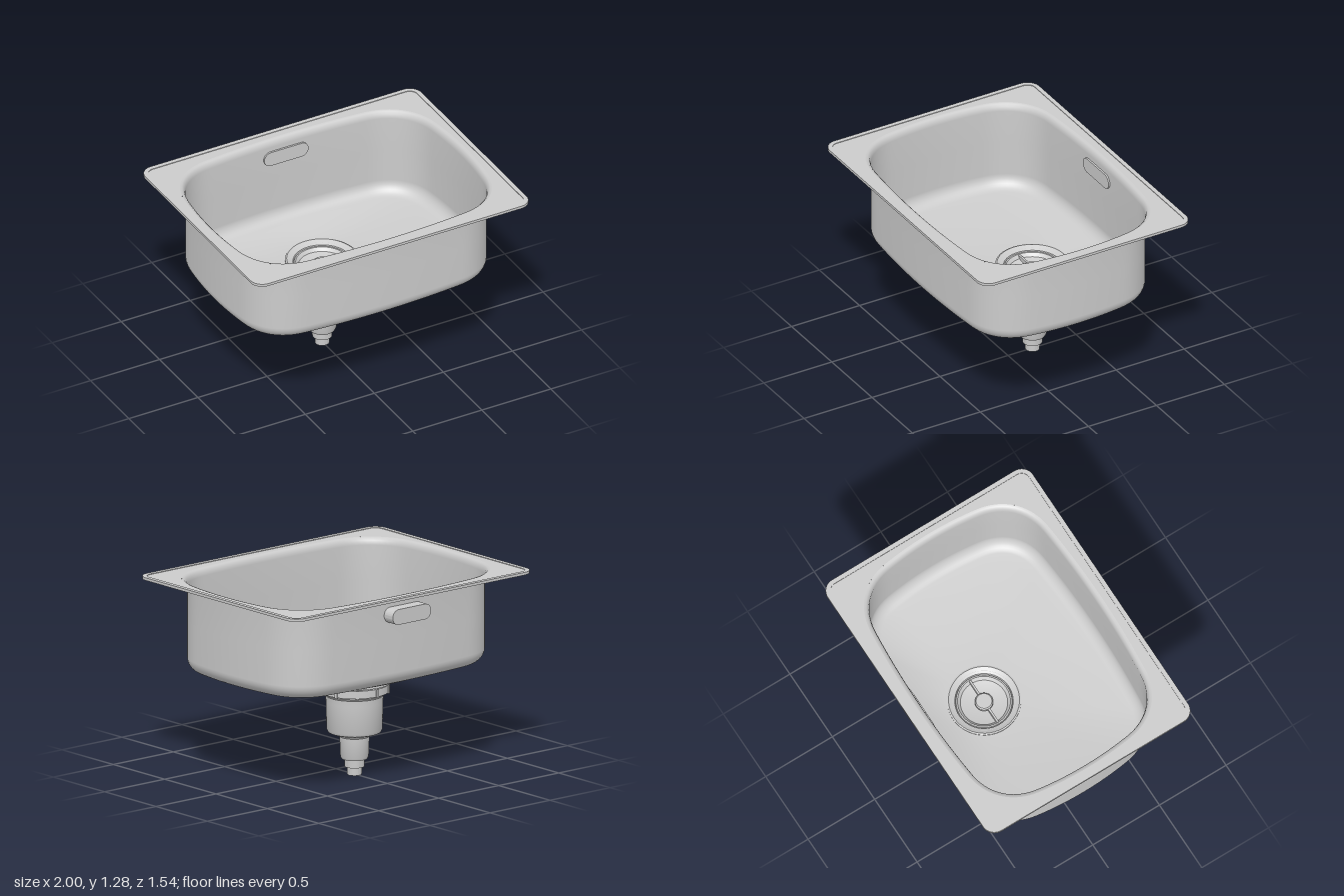
import * as THREE from 'three';
import { toCreasedNormals } from 'three/addons/utils/BufferGeometryUtils.js';

const DRAIN_Z = -0.18;

export function createModel() {
  const sink = new THREE.Group();
  sink.name = 'sink';
  const steel = new THREE.MeshStandardMaterial({ color: 0xcccccc, side: THREE.DoubleSide });

  const add = (name, geometry, x = 0, y = 0, z = 0) => {
    const mesh = new THREE.Mesh(geometry, steel);
    mesh.name = name;
    mesh.position.set(x, y, z);
    sink.add(mesh);
    return mesh;
  };
  const extrude = (shape, depth) => toCreasedNormals(
    new THREE.ExtrudeGeometry(shape, { depth, bevelEnabled: false, curveSegments: 10 }), 0.6);
  const lathe = (points, segments = 48) => toCreasedNormals(
    new THREE.LatheGeometry(points.map(([r, y]) => new THREE.Vector2(r, y)), segments), 0.6);

  // Rounded rectangle centred on (cx, cy), with half sizes w and h
  const roundedRect = (w, h, r, Kind = THREE.Shape, cx = 0, cy = 0) => {
    const s = new Kind();
    s.absarc(cx + w - r, cy + h - r, r, 0, Math.PI / 2);
    s.absarc(cx - w + r, cy + h - r, r, Math.PI / 2, Math.PI);
    s.absarc(cx - w + r, cy - h + r, r, Math.PI, Math.PI * 1.5);
    s.absarc(cx + w - r, cy - h + r, r, Math.PI * 1.5, Math.PI * 2);
    s.closePath();
    return s;
  };

  // Bowl outline: gently bowed sides joined by wide corners
  const outline = new THREE.Path();
  outline.moveTo(-0.57, 0.63);
  outline.quadraticCurveTo(0, 0.685, 0.57, 0.63);
  outline.bezierCurveTo(0.74, 0.614, 0.851, 0.50, 0.875, 0.34);
  outline.quadraticCurveTo(0.925, 0, 0.875, -0.34);
  outline.bezierCurveTo(0.851, -0.50, 0.74, -0.614, 0.57, -0.63);
  outline.quadraticCurveTo(0, -0.685, -0.57, -0.63);
  outline.bezierCurveTo(-0.74, -0.614, -0.851, -0.50, -0.875, -0.34);
  outline.quadraticCurveTo(-0.925, 0, -0.875, 0.34);
  outline.bezierCurveTo(-0.851, 0.50, -0.74, 0.614, -0.57, 0.63);
  const N = 144;
  const base = outline.getSpacedPoints(N).slice(0, N);

  // Outline moved inward by d
  const inset = (d) => base.map((p, i) => {
    const a = base[(i + N - 1) % N], b = base[(i + 1) % N];
    const t = b.clone().sub(a).normalize();
    return new THREE.Vector2(p.x + t.y * d, p.y - t.x * d);
  });

  // Bowl: lip fillet, straight wall, bottom fillet, floor falling to the drain
  const loops = [[-0.035, 1.276], [-0.02, 1.272], [-0.007, 1.258], [0, 1.23], [0, 1.0]]
    .map(([d, y]) => inset(d).map((p) => [p.x, y, p.y]));
  const R = 0.09;
  for (let i = 0; i <= 8; i++) {
    const a = (i / 8) * 1.42;
    const y = 0.765 - R * Math.sin(a);
    loops.push(inset(R * (1 - Math.cos(a))).map((p) => [p.x, y, p.y]));
  }
  const edge = loops[loops.length - 1];
  for (let i = 1; i <= 12; i++) {
    const t = i / 12;
    loops.push(edge.map(([x, y, z]) => {
      const a = Math.atan2(z - DRAIN_Z, x);
      return [
        THREE.MathUtils.lerp(x, 0.2 * Math.cos(a), t),
        0.62 + (y - 0.62) * Math.pow(1 - t, 1.5),
        THREE.MathUtils.lerp(z, DRAIN_Z + 0.2 * Math.sin(a), t),
      ];
    }));
  }
  const index = [];
  for (let j = 0; j < loops.length - 1; j++) {
    for (let i = 0; i < N; i++) {
      const a = j * N + i, b = j * N + (i + 1) % N;
      index.push(a, a + N, b, b, a + N, b + N);
    }
  }
  const bowl = new THREE.BufferGeometry();
  bowl.setAttribute('position', new THREE.Float32BufferAttribute(loops.flat(2), 3));
  bowl.setIndex(index);
  bowl.computeVertexNormals();
  add('bowl', bowl);

  // Flange around the bowl, with a slightly raised border
  const flange = roundedRect(0.985, 0.755, 0.07);
  flange.holes.push(new THREE.Path(inset(-0.035)));
  add('flange', extrude(flange, 0.012), 0, 1.264, 0).rotation.x = -Math.PI / 2;
  const border = roundedRect(1, 0.77, 0.085);
  border.holes.push(roundedRect(0.97, 0.74, 0.055, THREE.Path));
  add('rimBorder', extrude(border, 0.018), 0, 1.262, 0).rotation.x = -Math.PI / 2;

  // Overflow housing on the back wall and its slotted grille inside
  add('overflowHousing', extrude(roundedRect(0.16, 0.05, 0.0499), 0.095), 0, 1.15, -0.74);
  const grille = roundedRect(0.14, 0.042, 0.0419);
  for (let i = -3; i <= 3; i++) {
    grille.holes.push(roundedRect(0.008, 0.03, 0.0079, THREE.Path, i * 0.03, 0));
  }
  add('overflowGrille', extrude(grille, 0.012), 0, 1.15, -0.657);

  // Drain flange and strainer basket
  add('drainFlange', lathe([[0.2, 0.6], [0.235, 0.605], [0.235, 0.628], [0.225, 0.631],
    [0.185, 0.612], [0.18, 0.585]]), 0, 0, DRAIN_Z);
  add('strainerBasket', lathe([[0.181, 0.59], [0.178, 0.607], [0.168, 0.607], [0.15, 0.585],
    [0.1, 0.574], [0, 0.57]]), 0, 0, DRAIN_Z);
  add('strainerHandle', new THREE.BoxGeometry(0.33, 0.025, 0.014), 0, 0.592, DRAIN_Z);
  add('strainerKnob', lathe([[0.045, 0.572], [0.058, 0.585], [0.058, 0.606], [0.05, 0.612],
    [0, 0.612]], 32), 0, 0, DRAIN_Z);

  // Ribbed locking nut
  add('lockingNut', lathe([[0.18, 0.595], [0.22, 0.595], [0.22, 0.545], [0.19, 0.54],
    [0.18, 0.54]]), 0, 0, DRAIN_Z);
  for (let i = 0; i < 10; i++) {
    const a = ((i + 0.5) / 10) * Math.PI * 2;
    const rib = add('nutRib', new THREE.BoxGeometry(0.016, 0.054, 0.018),
      0.22 * Math.cos(a), 0.568, DRAIN_Z + 0.22 * Math.sin(a));
    rib.rotation.y = -a;
  }

  // Drain cup stepping down to the open outlet pipe
  add('drainCup', lathe([[0.2, 0.6], [0.2, 0.535], [0.185, 0.52], [0.182, 0.48], [0.178, 0.3],
    [0.17, 0.283], [0.15, 0.275], [0.105, 0.262], [0.095, 0.25], [0.09, 0.12], [0.083, 0.105],
    [0.065, 0.103], [0.063, 0.052], [0.047, 0.052], [0.046, 0]]), 0, 0, DRAIN_Z);

  return sink;
}
